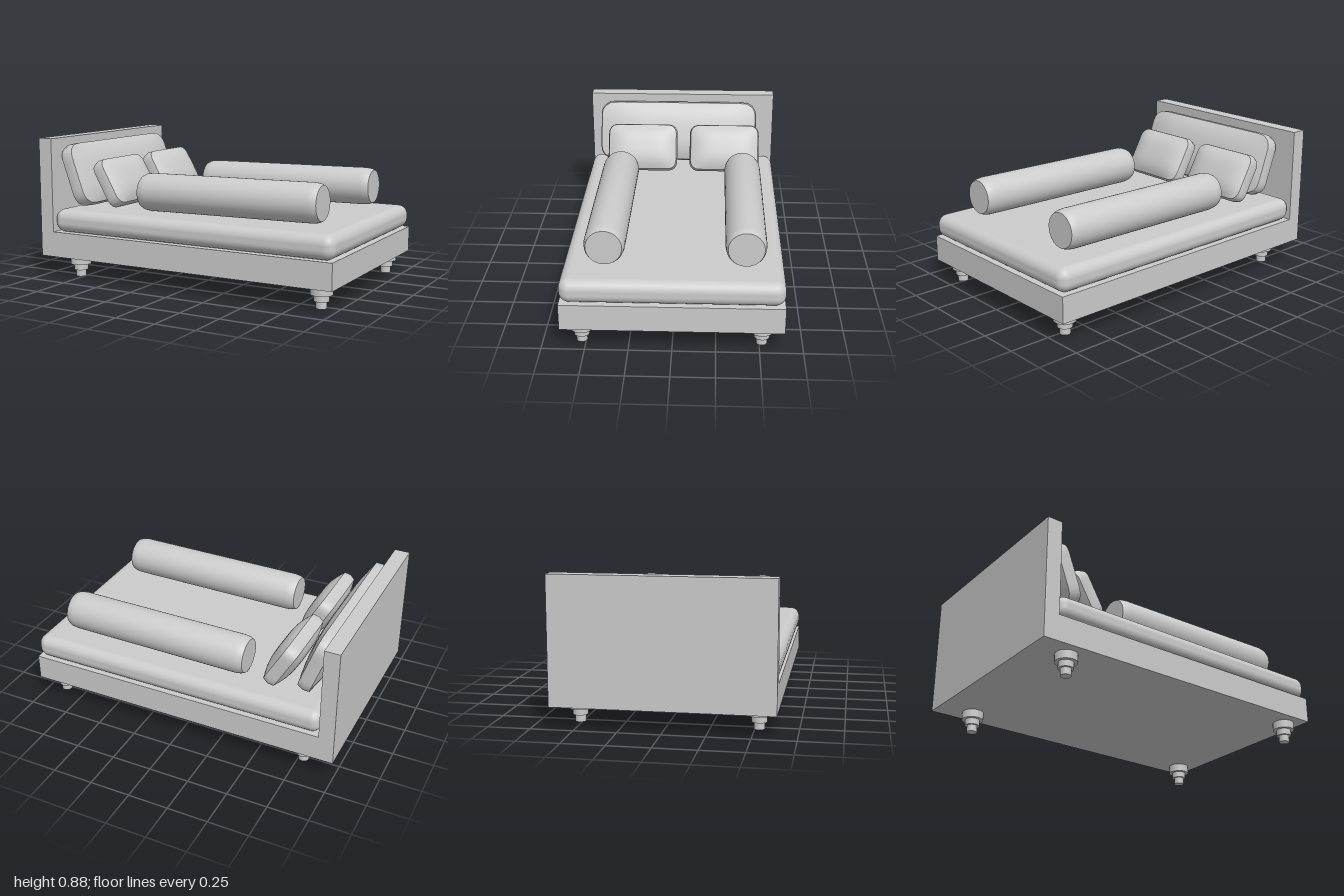
import * as THREE from 'three';
import { mergeVertices, toCreasedNormals } from 'three/addons/utils/BufferGeometryUtils.js';
import { RoundedBoxGeometry } from 'three/addons/geometries/RoundedBoxGeometry.js';

const grey = new THREE.MeshStandardMaterial({ color: 0xcccccc });

function add(parent, name, geometry, x = 0, y = 0, z = 0, tilt = 0) {
  const mesh = new THREE.Mesh(geometry, grey);
  mesh.name = name;
  mesh.position.set(x, y, z);
  mesh.rotation.z = tilt;
  parent.add(mesh);
  return mesh;
}

// Cushion facing x: cut corners, thin rim, thick middle.
function cushionGeometry(length, width, middle, rim, corner) {
  let g = new THREE.BoxGeometry(2, 2, 2, 2, 14, 18);
  const p = g.attributes.position;
  const hy = length / 2, hz = width / 2;
  for (let i = 0; i < p.count; i++) {
    const w = p.getX(i), u = p.getY(i), v = p.getZ(i);
    let y = u * hy, z = v * hz;
    // round the outline at the corners
    const dy = Math.abs(y) - (hy - corner), dz = Math.abs(z) - (hz - corner);
    if (dy > 0 && dz > 0) {
      const s = Math.max(dy, dz) / Math.hypot(dy, dz);
      y = Math.sign(y) * (hy - corner + dy * s);
      z = Math.sign(z) * (hz - corner + dz * s);
    }
    // swell towards the middle, with a slightly rounded rim
    const swell = (1 - Math.abs(u) ** 3) * (1 - Math.abs(v) ** 4);
    const half = (rim + (middle - rim) * swell) / 2;
    const inset = 0.008 * Math.abs(w);
    p.setXYZ(i, w * half, y * (1 - inset / hy), z * (1 - inset / hz));
  }
  g.deleteAttribute('uv');
  g.deleteAttribute('normal');
  g = mergeVertices(g);
  return toCreasedNormals(g, 0.7);
}

// Cylinder along x with bevelled ends.
function bolsterGeometry(length, radius) {
  const h = length / 2;
  const points = [
    [0, -h], [radius * 0.88, -h], [radius * 0.96, -h + 0.02], [radius, -h + 0.055],
    [radius, h - 0.055], [radius * 0.96, h - 0.02], [radius * 0.88, h], [0, h],
  ].map(([r, y]) => new THREE.Vector2(r, y));
  const g = new THREE.LatheGeometry(points, 40);
  g.rotateZ(-Math.PI / 2);
  return toCreasedNormals(g, 0.6);
}

export function createModel() {
  const bed = new THREE.Group();
  bed.name = 'daybed';

  // Frame and headboard
  add(bed, 'base', new THREE.BoxGeometry(2, 0.16, 1.28), 0, 0.21, 0);
  add(bed, 'headboard', new THREE.BoxGeometry(0.095, 0.59, 1.28), -0.9525, 0.585, 0);

  // Mattress
  add(bed, 'mattress', new RoundedBoxGeometry(1.905, 0.145, 1.28, 5, 0.06), 0.0475, 0.3625, 0);

  // Stepped legs
  const tiers = [[0.066, 0.08, 0.13], [0.045, 0.042, 0.08], [0.032, 0, 0.042]];
  for (const x of [-0.78, 0.89]) {
    for (const z of [-0.515, 0.525]) {
      const leg = new THREE.Group();
      leg.name = 'leg';
      leg.position.set(x, 0, z);
      for (const [r, y0, y1] of tiers) {
        add(leg, 'legTier', new THREE.CylinderGeometry(r, r, y1 - y0, 24), 0, (y0 + y1) / 2, 0);
      }
      bed.add(leg);
    }
  }

  // Back cushion leaning on the headboard, two small cushions before it
  const deg = Math.PI / 180;
  add(bed, 'backCushion', cushionGeometry(0.41, 1.09, 0.164, 0.08, 0.09), -0.802, 0.643, 0.025, 20 * deg);
  const small = cushionGeometry(0.32, 0.475, 0.16, 0.076, 0.06);
  for (const z of [-0.297, 0.263]) add(bed, 'smallCushion', small, -0.602, 0.596, z, 30 * deg);

  // Bolsters, slightly raised at the foot end
  const bolster = bolsterGeometry(1.2, 0.118);
  for (const z of [-0.415, 0.39]) add(bed, 'bolster', bolster, 0.233, 0.562, z, 0.0125);

  return bed;
}
